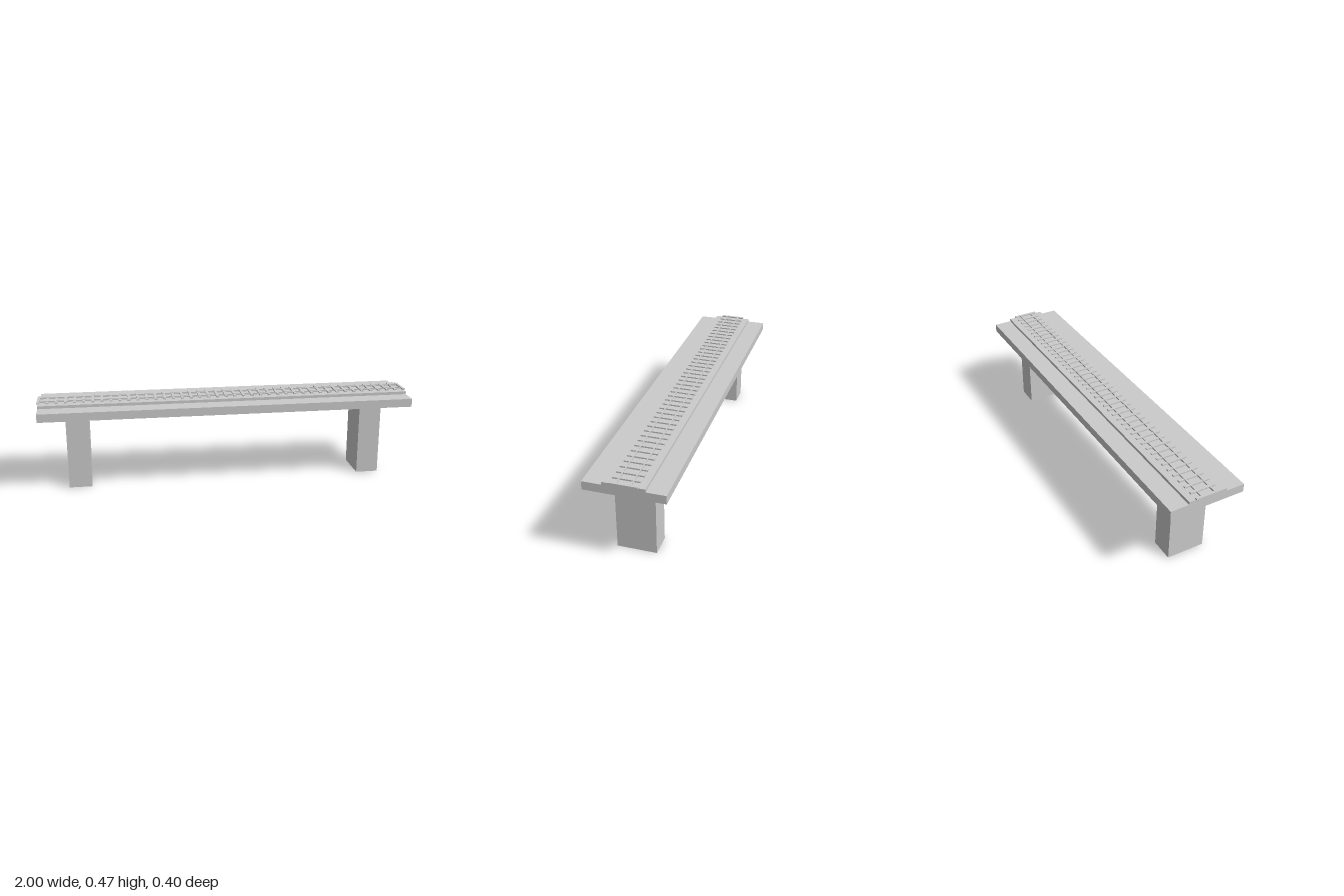
import * as THREE from 'three';

export function createModel() {
  const model = new THREE.Group();
  model.name = 'railwayBridge';
  const material = new THREE.MeshStandardMaterial({ color: 0xcccccc, flatShading: true });

  // Box given by its width, depth, bottom and top heights
  function block(name, width, depth, bottom, top, x = 0, z = 0, parent = model) {
    const mesh = new THREE.Mesh(new THREE.BoxGeometry(width, top - bottom, depth), material);
    mesh.position.set(x, (bottom + top) / 2, z);
    mesh.name = name;
    parent.add(mesh);
    return mesh;
  }

  const length = 1.986;

  // Supporting piers
  for (const side of [-1, 1]) {
    block(side < 0 ? 'rightPier' : 'leftPier', 0.12, 0.2, 0, 0.4, side * 0.795);
  }

  // Deck and raised track bed
  block('deck', length, 0.4, 0.4, 0.444);
  block('trackBed', length, 0.206, 0.444, 0.459);

  // Evenly spaced sleepers, the end ones straddling the deck ends
  const track = new THREE.Group();
  track.name = 'track';
  model.add(track);
  const count = 43;
  for (let i = 0; i < count; i++) {
    const x = -length / 2 + (length * i) / (count - 1);
    block('sleeper', 0.014, 0.135, 0.459, 0.466, x, 0, track);
  }

  // Rails
  for (const side of [-1, 1]) {
    block('rail', length, 0.006, 0.459, 0.4675, 0, side * 0.035, track);
  }

  return model;
}
